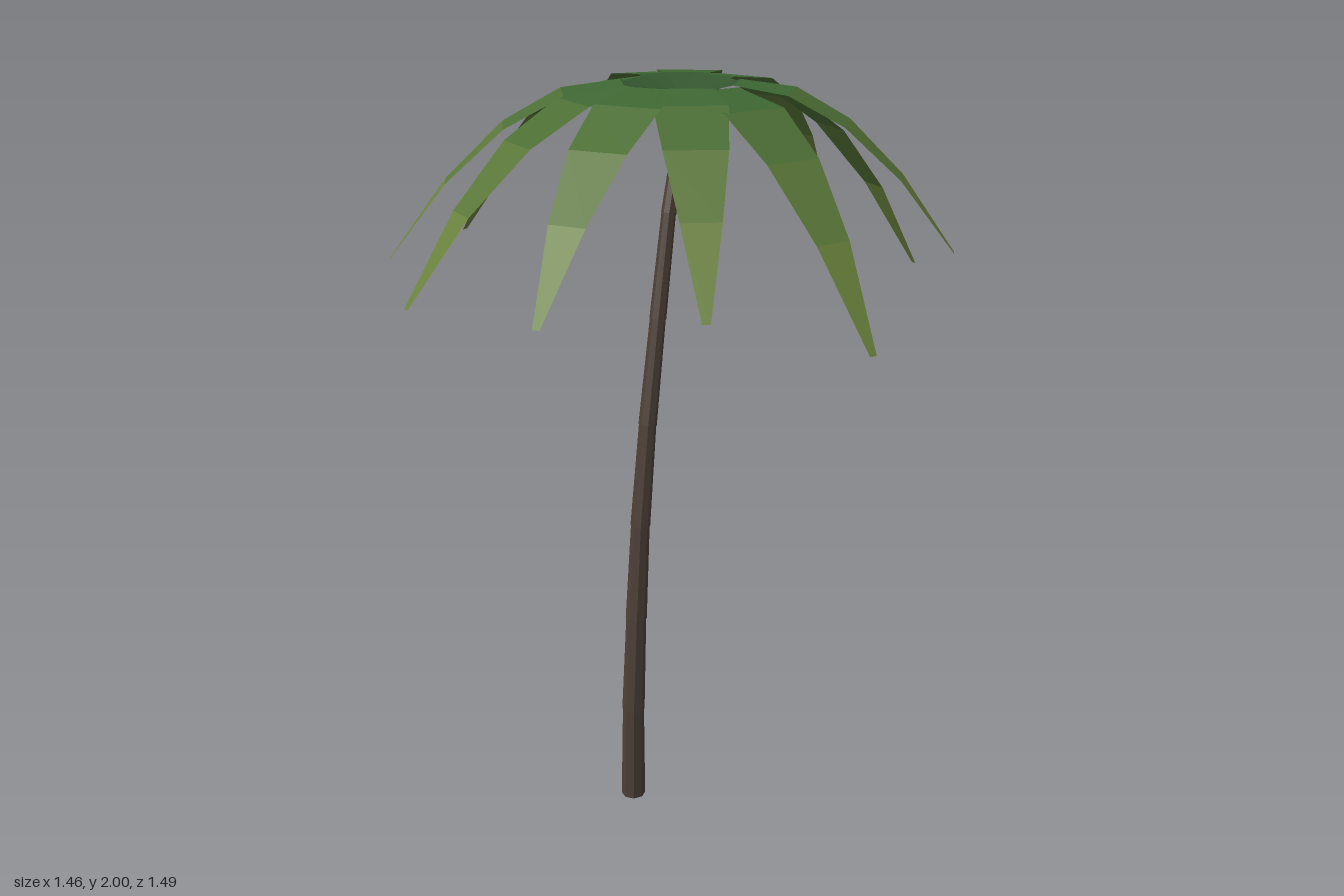
import * as THREE from 'three';

const V = (x, y, z) => new THREE.Vector3(x, y, z);

// Frond tips (x, y, z); every frond springs from the crown
const CROWN = V(0.015, 1.955, -0.02);
const TIPS = [
  [-0.125, 1.52, -0.74], [0.44, 1.59, -0.74], [0.675, 1.62, -0.51], [0.73, 1.6, -0.065],
  [0.68, 1.435, 0.305], [0.375, 1.57, 0.61], [-0.19, 1.45, 0.74], [-0.49, 1.545, 0.485],
  [-0.725, 1.525, 0.175], [-0.73, 1.49, -0.28], [-0.555, 1.545, -0.55],
];
const WIDTHS = [0.03, 0.135, 0.185, 0.158, 0.1, 0.02];
const GREENS = [0x34562f, 0x3f6733, 0x4c6e35, 0x5a7638, 0x6a813d];
const RISE = 0.335;

// Trunk centre line
const TRUNK = [
  V(-0.29, 0, 0.055), V(-0.285, 0.28, 0.055), V(-0.265, 0.56, 0.052), V(-0.235, 0.83, 0.044),
  V(-0.19, 1.11, 0.034), V(-0.13, 1.39, 0.02), V(-0.065, 1.66, 0.003), V(0.035, 1.96, -0.02),
];

// Tapered, overlapping trunk sections
function makeTrunk() {
  const group = new THREE.Group();
  group.name = 'trunk';
  const bark = new THREE.MeshStandardMaterial({ color: 0x4b3f36, flatShading: true });
  const radius = (i) => 0.033 - 0.0022 * i;
  for (let i = 0; i < TRUNK.length - 1; i++) {
    const dir = TRUNK[i + 1].clone().sub(TRUNK[i]);
    const length = dir.length() + (i < TRUNK.length - 2 ? 0.008 : 0);
    const geometry = new THREE.CylinderGeometry(radius(i + 1) * 0.97, radius(i) * 1.03, length, 8);
    geometry.translate(0, length / 2, 0);
    const section = new THREE.Mesh(geometry, bark);
    section.name = 'trunkSection';
    section.position.copy(TRUNK[i]);
    section.quaternion.setFromUnitVectors(V(0, 1, 0), dir.normalize());
    group.add(section);
  }
  return group;
}

// One arching frond: a flat strip in five bands that lighten toward the tip
function makeFrond(tip, materials) {
  const group = new THREE.Group();
  group.name = 'frond';
  const out = V(tip[0] - CROWN.x, 0, tip[2] - CROWN.z);
  const side = V(out.z, 0, -out.x).normalize();
  const sag = RISE + CROWN.y - tip[1];
  const n = materials.length;
  const edge = (i, s) => {
    const t = i / n;
    const p = CROWN.clone().addScaledVector(out, t).addScaledVector(side, s * WIDTHS[i] / 2);
    p.y += RISE * t - sag * t * t;
    return p;
  };
  materials.forEach((material, i) => {
    const a = edge(i, -1), b = edge(i, 1), c = edge(i + 1, 1), d = edge(i + 1, -1);
    const geometry = new THREE.BufferGeometry().setFromPoints([a, d, c, a, c, b]);
    geometry.computeVertexNormals();
    const band = new THREE.Mesh(geometry, material);
    band.name = 'frondBand';
    group.add(band);
  });
  return group;
}

export function createModel() {
  const model = new THREE.Group();
  model.name = 'palmTree';
  model.add(makeTrunk());

  const greens = GREENS.map((color) =>
    new THREE.MeshStandardMaterial({ color, flatShading: true, side: THREE.DoubleSide }));
  TIPS.forEach((tip) => model.add(makeFrond(tip, greens)));

  // Nuts clustered under the crown
  const shell = new THREE.MeshStandardMaterial({ color: 0x6b4f30, flatShading: true });
  for (const [x, z] of [[0.048, -0.02], [0.012, 0.02], [0.0, -0.05]]) {
    const nut = new THREE.Mesh(new THREE.IcosahedronGeometry(0.022, 1), shell);
    nut.name = 'nut';
    nut.position.set(x, 1.885, z);
    model.add(nut);
  }
  return model;
}
